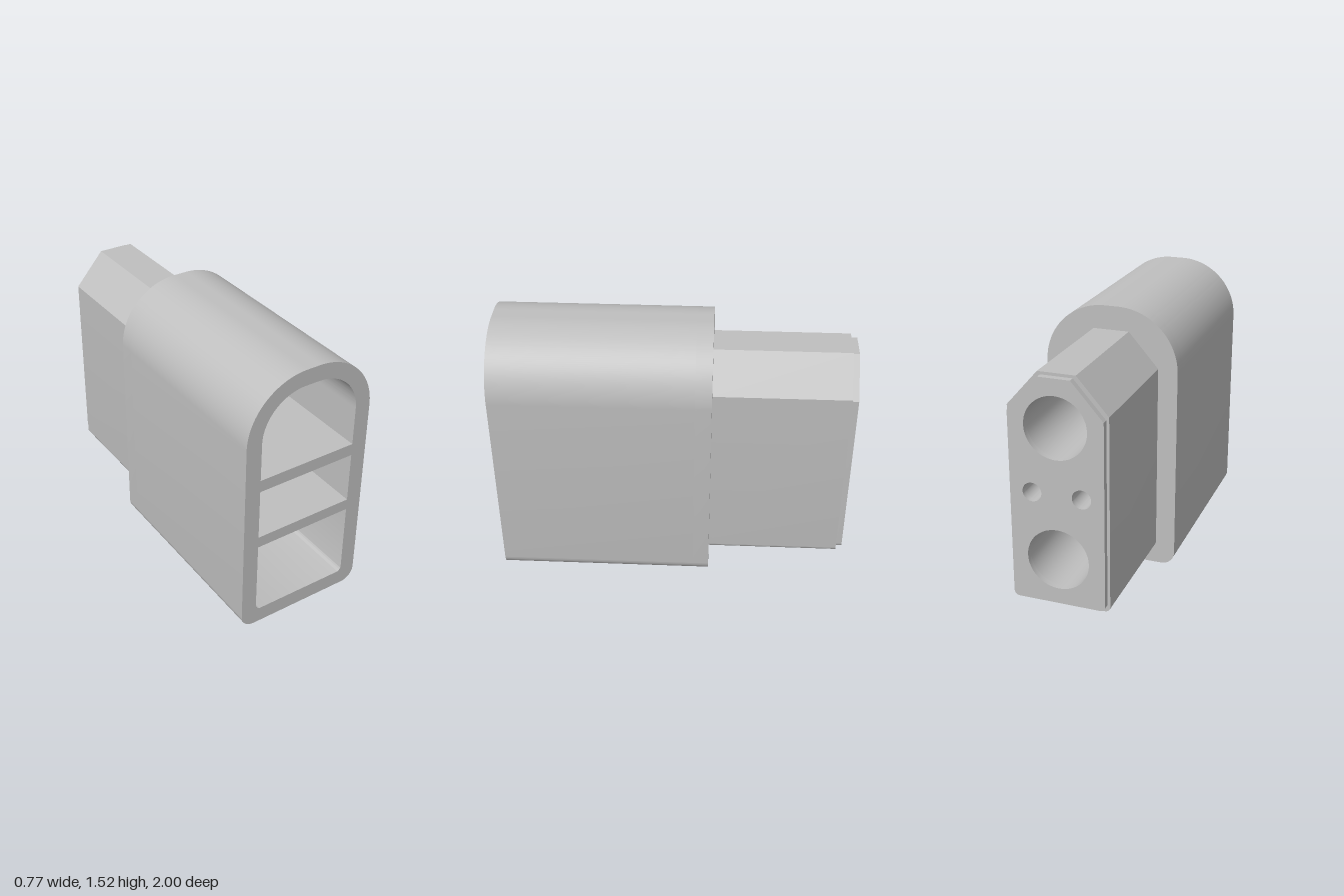
import * as THREE from 'three';
import { toCreasedNormals } from 'three/addons/utils/BufferGeometryUtils.js';

const BIG = [[0, 1.11, 0.17], [0, 0.38, 0.17]];
const SMALL = [[-0.135, 0.745, 0.052], [0.135, 0.745, 0.052]];

// Outline with rounded lower corners and a broad arch on top
function arch(Type, w, y0, y1, rBottom, rTop) {
  const s = new Type();
  s.moveTo(-w + rBottom, y0);
  s.lineTo(w - rBottom, y0);
  if (rBottom) s.absarc(w - rBottom, y0 + rBottom, rBottom, -Math.PI / 2, 0);
  s.lineTo(w, y1 - rTop);
  if (rTop) s.absarc(w - rTop, y1 - rTop, rTop, 0, Math.PI / 2);
  else s.lineTo(w, y1);
  s.lineTo(-w + rTop, y1);
  if (rTop) s.absarc(-w + rTop, y1 - rTop, rTop, Math.PI / 2, Math.PI);
  s.lineTo(-w, y0 + rBottom);
  if (rBottom) s.absarc(-w + rBottom, y0 + rBottom, rBottom, Math.PI, Math.PI * 1.5);
  return s;
}

// Outline with rounded lower corners and chamfered upper corners
function chamfered(w, y0, y1, r, topW, shoulderY) {
  const s = new THREE.Shape();
  s.moveTo(-w + r, y0);
  s.lineTo(w - r, y0);
  s.absarc(w - r, y0 + r, r, -Math.PI / 2, 0);
  s.lineTo(w, shoulderY);
  s.lineTo(topW, y1);
  s.lineTo(-topW, y1);
  s.lineTo(-w, shoulderY);
  s.lineTo(-w, y0 + r);
  s.absarc(-w + r, y0 + r, r, Math.PI, Math.PI * 1.5);
  return s;
}

function drill(shape) {
  for (const [x, y, r] of [...BIG, ...SMALL]) {
    shape.holes.push(new THREE.Path().absarc(x, y, r, 0, Math.PI * 2, true));
  }
  return shape;
}

export function createModel() {
  const group = new THREE.Group();
  const grey = new THREE.MeshStandardMaterial({ color: 0xbfbfbf });
  grey.name = 'grey plastic';

  function add(name, shape, z0, z1) {
    const geo = new THREE.ExtrudeGeometry(shape, { depth: z1 - z0, bevelEnabled: false, curveSegments: 24 });
    geo.translate(0, 0, z0);
    const mesh = new THREE.Mesh(toCreasedNormals(geo, 0.5), grey);
    mesh.name = name;
    group.add(mesh);
  }

  // Sleeve with three pockets open to the front
  const outline = () => arch(THREE.Shape, 0.383, 0, 1.52, 0.08, 0.345);
  const sleeve = outline();
  sleeve.holes.push(
    arch(THREE.Path, 0.292, 0.96, 1.43, 0, 0.25),
    arch(THREE.Path, 0.292, 0.595, 0.89, 0, 0),
    arch(THREE.Path, 0.292, 0.09, 0.53, 0.03, 0),
  );
  add('sleeve', sleeve, -0.12, 1);

  // Drilled wall closing the pockets
  add('rearWall', drill(outline()), -0.21, -0.12);

  // Keyed plug and its stepped tip
  add('plug', drill(chamfered(0.272, 0.103, 1.386, 0.03, 0.102, 1.192)), -0.965, -0.21);
  add('plugTip', drill(chamfered(0.257, 0.122, 1.37, 0.03, 0.086, 1.175)), -1, -0.965);

  return group;
}
